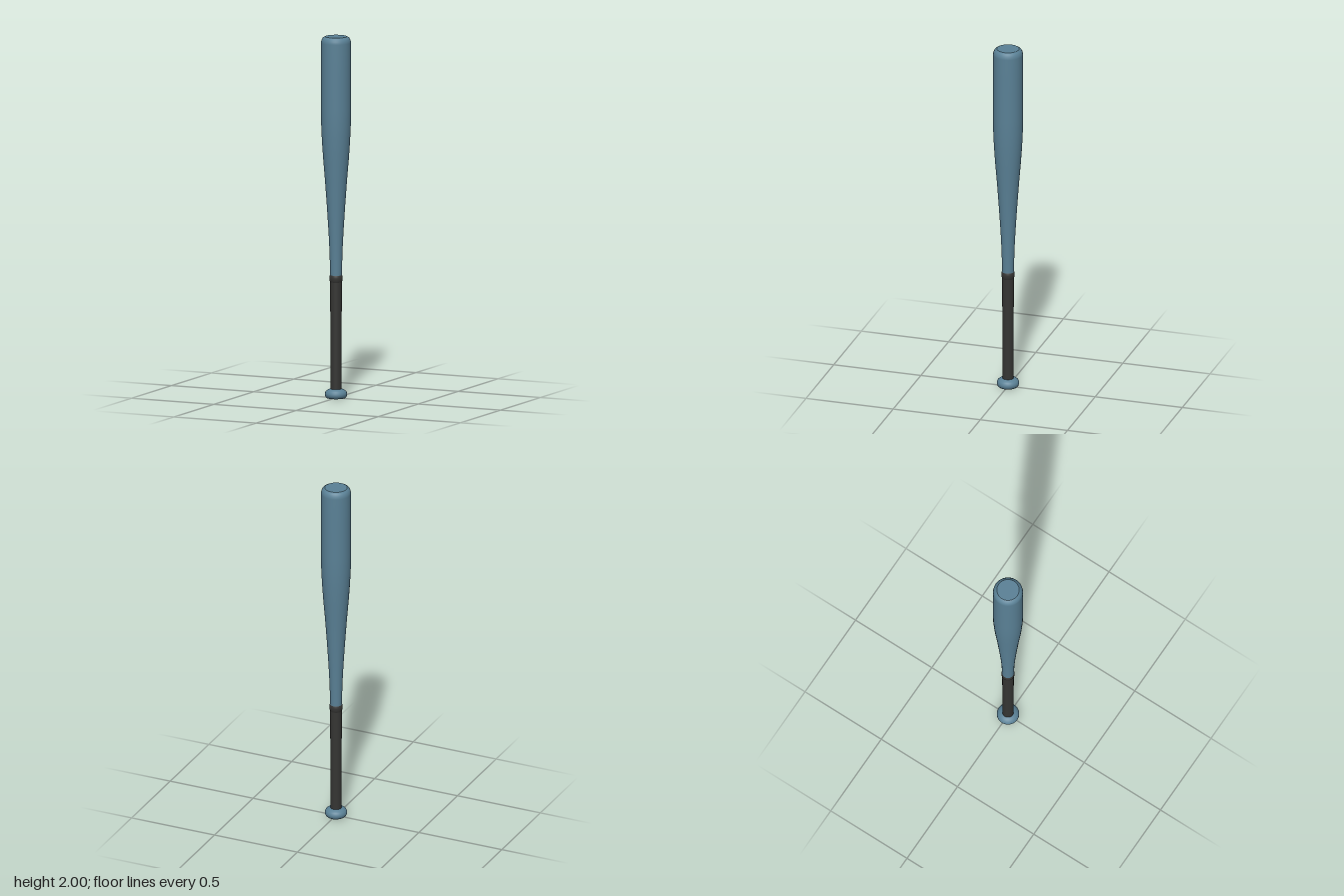
import * as THREE from 'three';

const SEGMENTS = 48;
const paint = new THREE.MeshStandardMaterial({ color: 0x5a8196 });
const wrap = new THREE.MeshStandardMaterial({ color: 0x353533 });

// Turned part from [radius, height] pairs, listed bottom to top
function turned(name, profile, material) {
  const points = profile.map(([r, y]) => new THREE.Vector2(r, y));
  const mesh = new THREE.Mesh(new THREE.LatheGeometry(points, SEGMENTS), material);
  mesh.name = name;
  return mesh;
}

// Flat end disc, kept separate so its rim stays sharp
function disc(name, radius, y, facing) {
  const mesh = new THREE.Mesh(new THREE.CircleGeometry(radius, SEGMENTS), paint);
  mesh.name = name;
  mesh.rotation.x = -facing * Math.PI / 2;
  mesh.position.y = y;
  return mesh;
}

export function createModel() {
  const bat = new THREE.Group();
  bat.name = 'bat';

  // Barrel: slim neck flaring to a straight, round-shouldered top
  bat.add(turned('barrel', [
    [0.031, 0.64], [0.033, 0.70], [0.035, 0.80], [0.041, 0.92], [0.050, 1.06],
    [0.060, 1.20], [0.070, 1.32], [0.077, 1.42], [0.081, 1.51], [0.082, 1.60],
    [0.082, 1.80], [0.082, 1.965], [0.080, 1.98], [0.073, 1.993], [0.061, 2.0],
  ], paint));
  bat.add(disc('barrelEnd', 0.061, 2, 1));

  // Wrapped grip and the raised collar at its upper end
  bat.add(turned('grip', [[0.031, 0.03], [0.031, 0.30], [0.032, 0.66]], wrap));
  bat.add(turned('gripCollar', [
    [0.030, 0.638], [0.034, 0.645], [0.036, 0.658], [0.036, 0.666],
    [0.035, 0.677], [0.031, 0.681],
  ], wrap));

  // Knob
  bat.add(turned('knob', [
    [0.050, 0], [0.057, 0.006], [0.061, 0.016], [0.061, 0.026],
    [0.056, 0.037], [0.045, 0.046], [0.029, 0.051],
  ], paint));
  bat.add(disc('knobEnd', 0.050, 0, -1));

  return bat;
}
